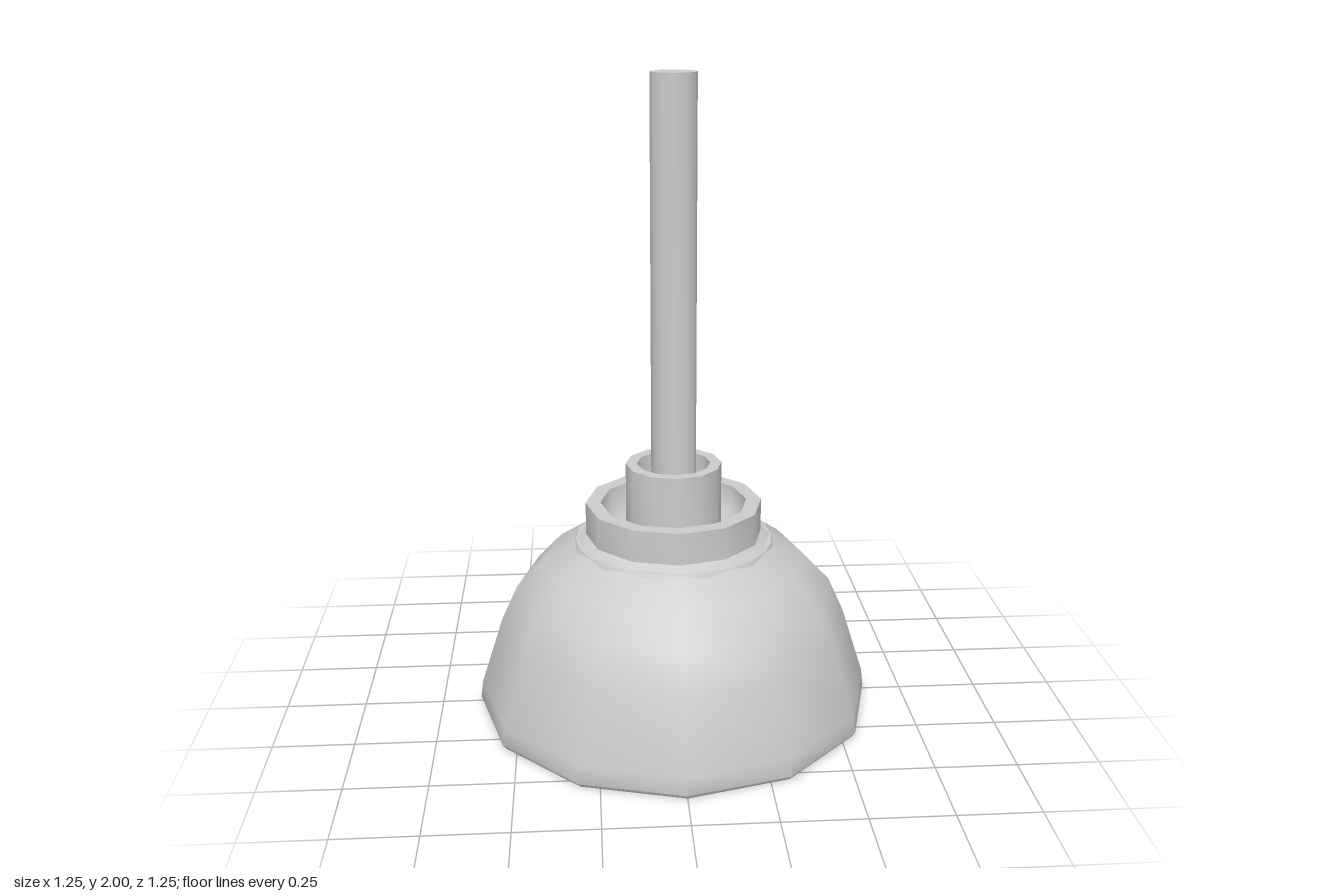
import * as THREE from 'three';
import { toCreasedNormals } from 'three/addons/utils/BufferGeometryUtils.js';

const material = new THREE.MeshStandardMaterial({ color: 0xcccccc, side: THREE.DoubleSide });

// Revolve a [radius, height] profile around the y axis, keeping sharp edges
function turned(name, profile, sides = 12) {
  const points = profile.map(([r, y]) => new THREE.Vector2(r, y));
  const geometry = toCreasedNormals(new THREE.LatheGeometry(points, sides), 0.85);
  const mesh = new THREE.Mesh(geometry, material);
  mesh.name = name;
  return mesh;
}

export function createModel() {
  const group = new THREE.Group();
  group.name = 'plunger';

  // Thick rubber cup: up the outside, then down the inside
  group.add(turned('cup', [
    [0.555, 0.03], [0.585, 0.003], [0.615, 0], [0.627, 0.015], [0.62, 0.07],
    [0.55, 0.29], [0.5, 0.4], [0.415, 0.49], [0.28, 0.58],
    [0.25, 0.54], [0.38, 0.45], [0.45, 0.37], [0.5, 0.26], [0.555, 0.03],
  ]));

  // Collar with a recessed floor
  group.add(turned('collar', [
    [0.277, 0.57], [0.277, 0.68], [0.23, 0.68], [0.225, 0.62], [0.19, 0.585], [0.14, 0.57],
  ]));

  // Socket holding the handle
  group.add(turned('socket', [
    [0.15, 0.57], [0.15, 0.807], [0.115, 0.807], [0.112, 0.72], [0, 0.7],
  ]));

  // Handle
  group.add(turned('handle', [[0.07, 0.7], [0.07, 2], [0, 2]]));

  // Round bulb hanging inside the cup
  const bulb = [];
  for (let i = 0; i <= 14; i++) {
    const a = -Math.PI / 2 + (i / 14) * 2.1;
    bulb.push([Math.max(0, 0.36 * Math.cos(a)), 0.38 + 0.36 * Math.sin(a)]);
  }
  bulb.push([0.25, 0.57]);
  group.add(turned('innerBulb', bulb, 24));

  return group;
}
